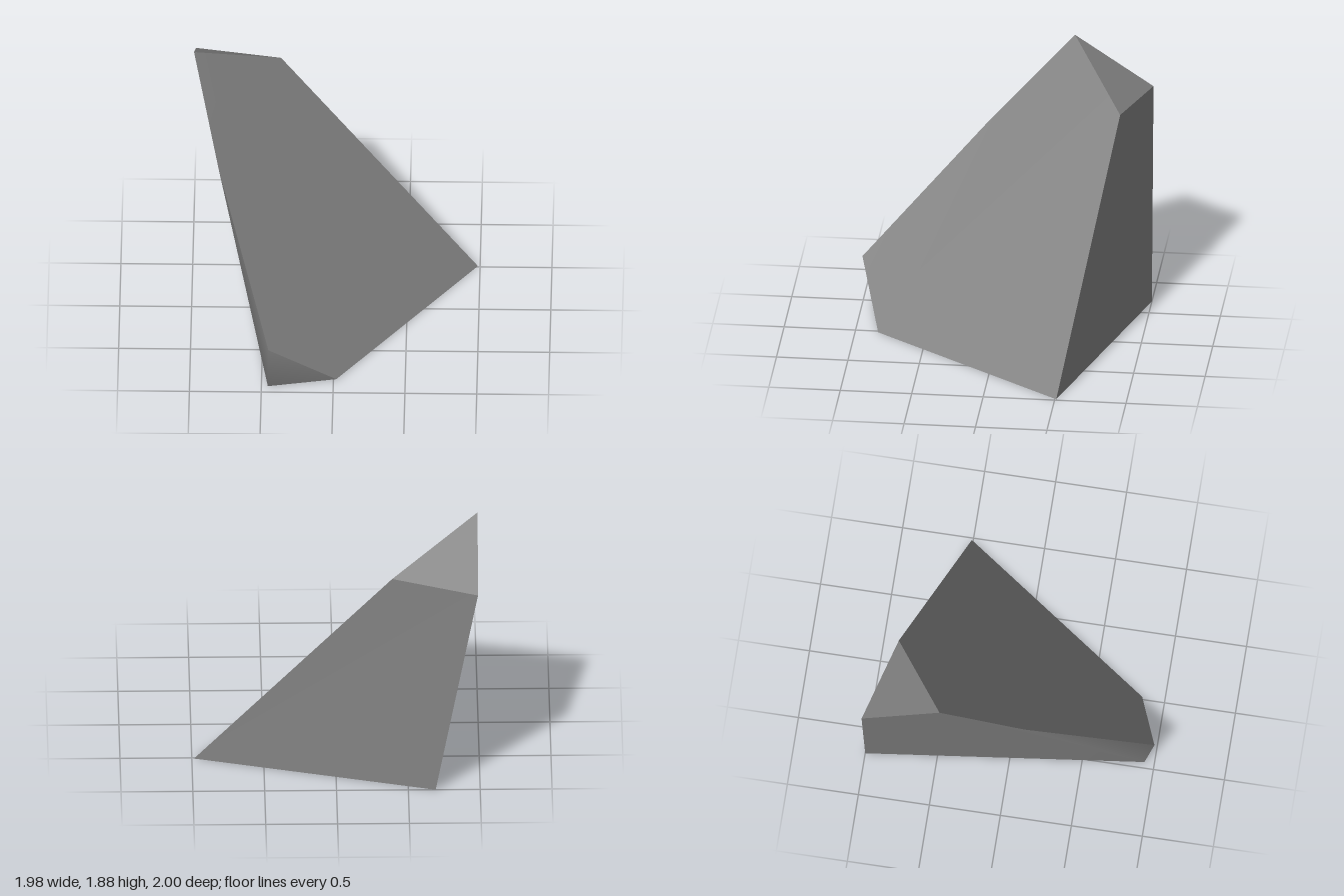
import * as THREE from 'three';

// Corners of the boulder
const P = {
  peak: [-0.99, 1.88, -0.43],
  shoulder: [-0.39, 1.56, -0.81],
  backTop: [-0.985, 1.515, -0.98],
  ridge: [-0.81, 1.29, 0.14],
  nose: [-0.45, 0.36, 1.0],
  baseSide: [0.985, 0, -0.51],
  baseBack: [-0.69, 0, -1.0],
  baseFront: [0.02, 0, 0.84],
  baseNose: [-0.455, 0, 0.93],
};

// Indexed geometry from convex faces, each a fan of named corners; corners are shared so normals blend
function facets(...faces) {
  const names = [...new Set(faces.flat())];
  const index = [];
  for (const f of faces) {
    for (let i = 1; i < f.length - 1; i++) {
      index.push(...[f[0], f[i], f[i + 1]].map((n) => names.indexOf(n)));
    }
  }
  const g = new THREE.BufferGeometry();
  g.setAttribute('position', new THREE.Float32BufferAttribute(names.flatMap((n) => P[n]), 3));
  g.setIndex(index);
  g.computeVertexNormals();
  return g;
}

export function createModel() {
  const rock = new THREE.Group();
  rock.name = 'rock';
  const stone = new THREE.MeshStandardMaterial({ color: 0x808080 });
  stone.name = 'grey stone';

  const add = (name, ...faces) => {
    const mesh = new THREE.Mesh(facets(...faces), stone);
    mesh.name = name;
    rock.add(mesh);
  };

  // Sharp flat facets
  add('frontSlope', ['baseFront', 'baseSide', 'shoulder', 'peak', 'ridge', 'nose']);
  add('backFace', ['baseSide', 'baseBack', 'backTop', 'shoulder']);
  add('topFacet', ['peak', 'shoulder', 'backTop']);
  add('underside', ['baseBack', 'baseSide', 'baseFront', 'baseNose']);

  // Side wall running smoothly round into the small undercut at the nose
  add('sideWall',
    ['baseBack', 'baseNose', 'peak'],
    ['baseBack', 'peak', 'backTop'],
    ['baseNose', 'ridge', 'peak'],
    ['baseNose', 'nose', 'ridge'],
    ['baseNose', 'baseFront', 'nose']);

  return rock;
}
